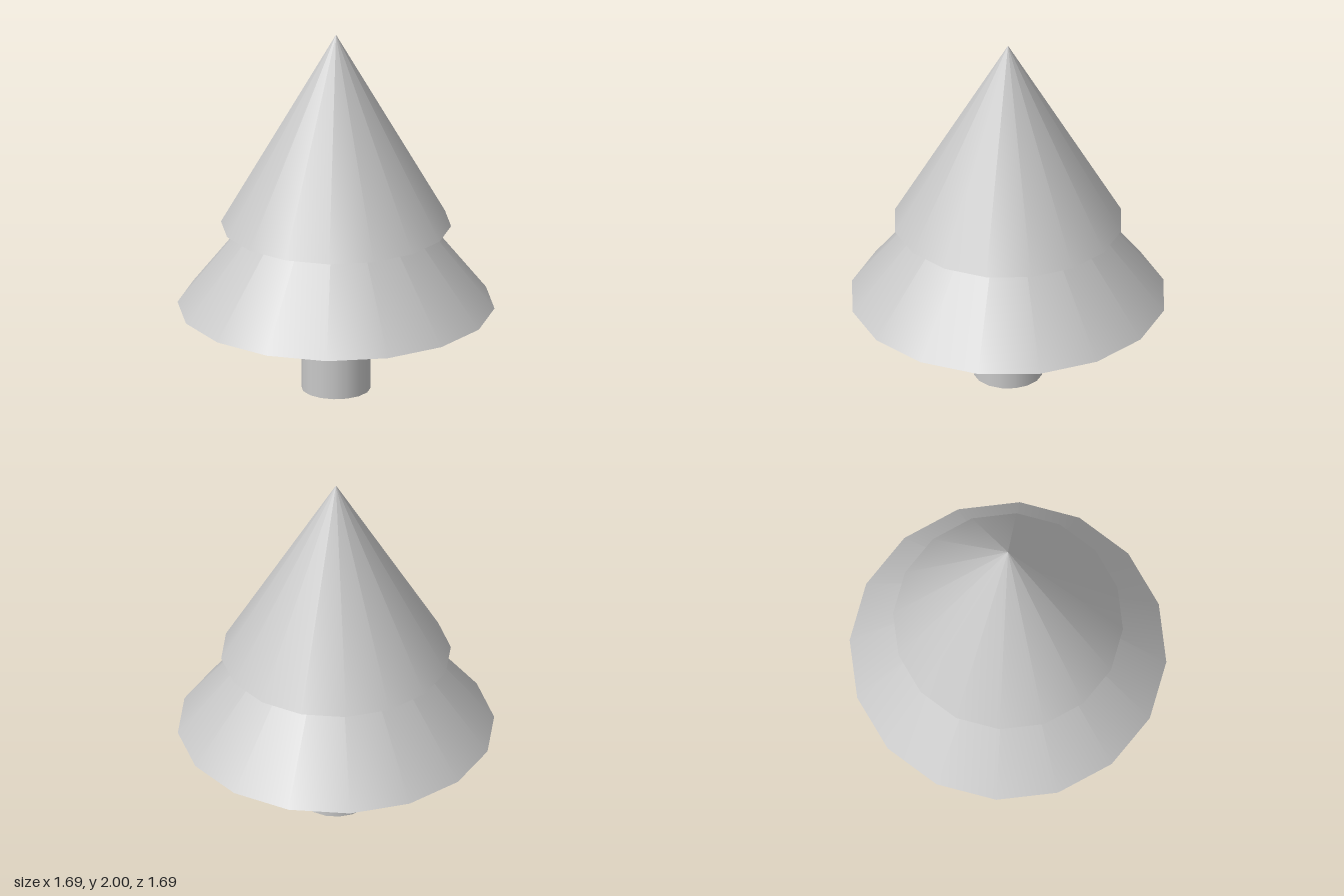
import * as THREE from 'three';

const SIDES = 16;

export function createModel() {
  const tree = new THREE.Group();
  tree.name = 'tree';

  const grey = new THREE.MeshStandardMaterial({ color: 0xc8c8c8 });
  grey.name = 'light grey';

  // Adds a closed round part standing between two heights
  function addPart(name, topRadius, bottomRadius, bottom, top) {
    const geometry = new THREE.CylinderGeometry(topRadius, bottomRadius, top - bottom, SIDES);
    const mesh = new THREE.Mesh(geometry, grey);
    mesh.name = name;
    mesh.position.y = (bottom + top) / 2;
    tree.add(mesh);
  }

  // Trunk, running slightly into the foliage
  addPart('trunk', 0.184, 0.184, 0, 0.5);
  // Two stacked cones of foliage; the lower tip hides inside the upper cone
  addPart('lowerFoliage', 0, 0.843, 0.465, 1.535);
  addPart('upperFoliage', 0, 0.612, 0.927, 2);

  return tree;
}
